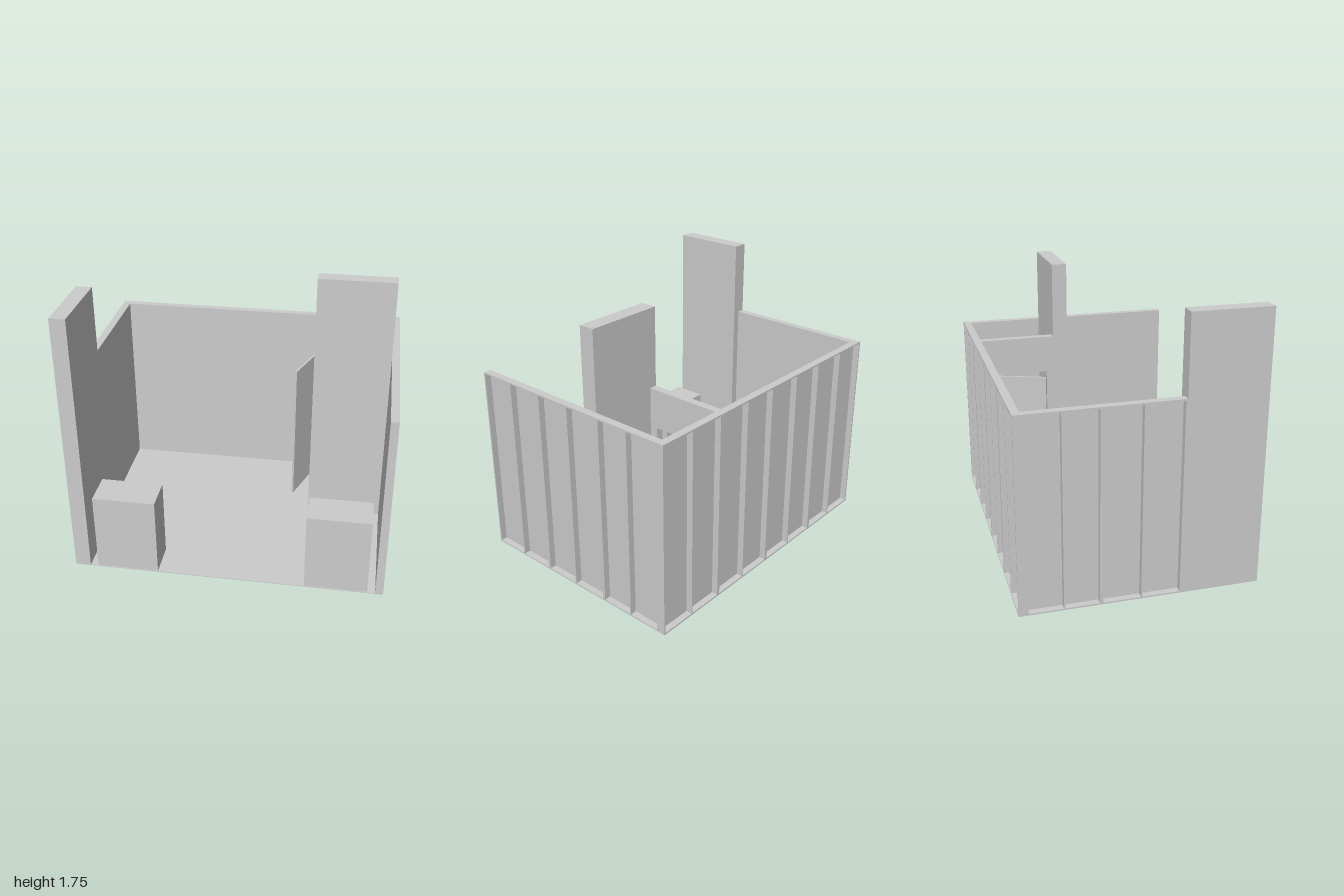
import * as THREE from 'three';

const grey = new THREE.MeshStandardMaterial({ color: 0xcccccc });
const WALL_H = 1.25, WALL_T = 0.05, RAIL = 0.01;

// Box given by its minimum and maximum corners
function block(name, [x0, y0, z0], [x1, y1, z1]) {
  const mesh = new THREE.Mesh(new THREE.BoxGeometry(x1 - x0, y1 - y0, z1 - z0), grey);
  mesh.position.set((x0 + x1) / 2, (y0 + y1) / 2, (z0 + z1) / 2);
  mesh.name = name;
  return mesh;
}

// Framed wall module: smooth skin inside (-z), open stud frame outside (+z)
function wallModule(name, width, x, z, angle) {
  const g = new THREE.Group();
  const w = width / 2, t = WALL_T / 2, stud = 0.004;
  g.add(
    block('skin', [-w + RAIL, RAIL, -t], [w - RAIL, WALL_H - RAIL, -t + 0.008]),
    block('bottomRail', [-w, 0, -t], [w, RAIL, t]),
    block('topRail', [-w, WALL_H - RAIL, -t], [w, WALL_H, t]),
    block('edgeStud', [-w, RAIL, -t], [-w + RAIL, WALL_H - RAIL, t]),
    block('edgeStud', [w - RAIL, RAIL, -t], [w, WALL_H - RAIL, t]),
    block('middleStud', [-stud, RAIL, -t + 0.008], [stud, WALL_H - RAIL, t]),
  );
  g.position.set(x, 0, z);
  g.rotation.y = angle;
  g.name = name;
  return g;
}

export function createModel() {
  const model = new THREE.Group();
  model.name = 'exhibitionBooth';

  model.add(block('floor', [-1, 0, -0.75], [1, 0.005, 0.75]));

  // Outer walls
  for (let i = 0; i < 4; i++) {
    model.add(wallModule('backWall', 0.5, -0.75 + i * 0.5, -0.725, Math.PI));
  }
  const sideSpans = [[-0.7, -0.25], [-0.25, 0.25], [0.25, 0.75]];
  sideSpans.forEach(([a, b], i) => {
    model.add(wallModule('leftWall', b - a, 0.975, (a + b) / 2, Math.PI / 2));
    if (i < 2) model.add(wallModule('rightWall', b - a, -0.975, (a + b) / 2, -Math.PI / 2));
  });

  // Tall display towers
  model.add(block('frontTower', [-1, 0, 0.25], [-0.9, 1.75, 0.75]));
  model.add(block('closetTower', [0.45, 0, -0.2], [0.95, 1.75, -0.1]));

  // Closet partition with a doorway
  const outline = new THREE.Shape([
    [-0.7, 0], [-0.65, 0], [-0.65, 1], [-0.25, 1], [-0.25, 0],
    [-0.2, 0], [-0.2, WALL_H], [-0.7, WALL_H],
  ].map(([z, y]) => new THREE.Vector2(z, y)));
  const partition = new THREE.Mesh(
    new THREE.ExtrudeGeometry(outline, { depth: WALL_T, bevelEnabled: false }), grey);
  partition.rotation.y = -Math.PI / 2;
  partition.position.x = 0.5;
  partition.name = 'closetPartition';
  model.add(partition);

  // Door standing ajar
  const door = block('closetDoor', [-0.0075, 0.003, -0.2], [0.0075, 1, 0.2]);
  door.position.x = 0.386;
  door.position.z = -0.471;
  door.rotation.y = -Math.PI / 9;
  model.add(door);

  // Front counters
  for (const x of [-0.85, 0.5]) {
    model.add(block('counter', [x, 0, 0.52], [x + 0.4, 0.53, 0.745]));
  }
  return model;
}
